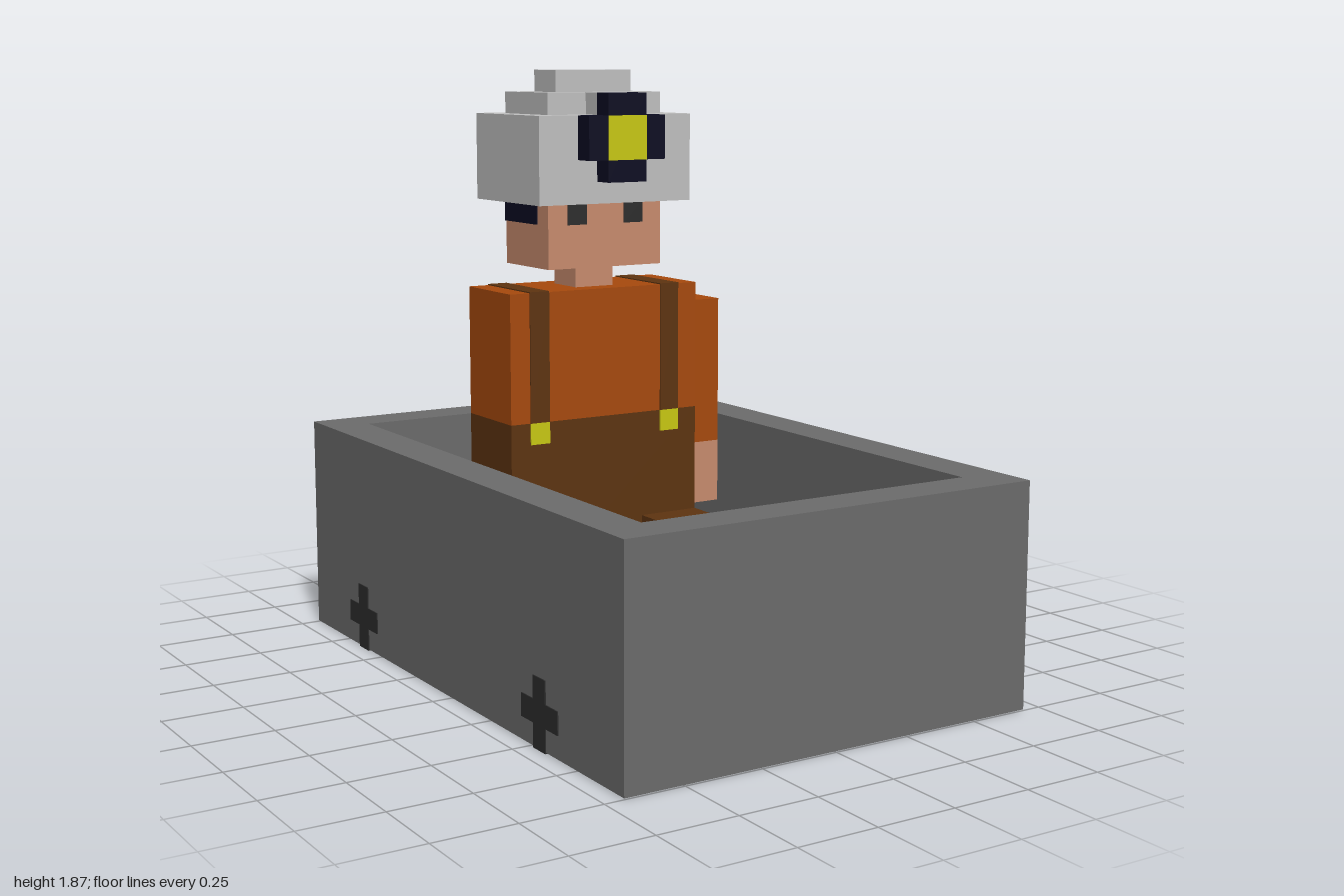
import * as THREE from 'three';

const U = 2 / 29;   // one block cell
const T = 0.05;     // thickness of painted plates, in cells

const material = (name, color) => {
  const m = new THREE.MeshStandardMaterial({ color });
  m.name = name;
  return m;
};

export function createModel() {
  const grey = material('cart grey', 0x6c6c6c);
  const charcoal = material('charcoal', 0x2d2d2d);
  const orange = material('shirt orange', 0xa84a0d);
  const brown = material('trouser brown', 0x5e3410);
  const skin = material('skin', 0xc98c6e);
  const silver = material('helmet silver', 0xc1c1c1);
  const navy = material('dark navy', 0x0b0b22);
  const yellow = material('yellow', 0xcaca12);

  const model = new THREE.Group();
  model.name = 'minerInCart';

  const group = (name) => {
    const g = new THREE.Group();
    g.name = name;
    model.add(g);
    return g;
  };

  // Block spanning the given ranges, measured in cells
  const block = (parent, name, mat, [x0, x1], [y0, y1], [z0, z1]) => {
    const geo = new THREE.BoxGeometry((x1 - x0) * U, (y1 - y0) * U, (z1 - z0) * U);
    const mesh = new THREE.Mesh(geo, mat);
    mesh.position.set((x0 + x1) / 2 * U, (y0 + y1) / 2 * U, (z0 + z1) / 2 * U);
    mesh.name = name;
    parent.add(mesh);
  };
  // Range a..b on one side of the middle
  const span = (s, a, b) => (s > 0 ? [a, b] : [-b, -a]);

  // Cart: walls with an open middle, and a floor
  const cart = group('cart');
  const rectangle = (Type, w, d) => new Type([
    new THREE.Vector2(-w, -d), new THREE.Vector2(w, -d),
    new THREE.Vector2(w, d), new THREE.Vector2(-w, d),
  ]);
  const outline = rectangle(THREE.Shape, 10 * U, 14.5 * U);
  outline.holes.push(rectangle(THREE.Path, 8 * U, 12.5 * U));
  const wallGeo = new THREE.ExtrudeGeometry(outline, { depth: 10 * U, bevelEnabled: false });
  wallGeo.rotateX(-Math.PI / 2);
  const walls = new THREE.Mesh(wallGeo, grey);
  walls.name = 'cartWalls';
  cart.add(walls);
  block(cart, 'cartFloor', grey, [-8, 8], [0, 2], [-12.5, 12.5]);

  // Cross-shaped wheels set into the long sides, staggered between the sides
  for (const s of [1, -1]) {
    for (const c of [9, -8]) {
      const z = s * c;
      const x = span(s, 9, 10 + T);
      block(cart, 'wheelUpright', charcoal, x, [-T, 3], [z - 0.5, z + 0.5]);
      block(cart, 'wheelBar', charcoal, x, [1, 2], [z - 1.5, z + 1.5]);
    }
  }

  // Body: trousers up to the waist, then shirt
  const body = group('body');
  block(body, 'waist', brown, [-5, 5], [2, 11], [-7.5, -3.5]);
  block(body, 'shirt', orange, [-5, 5], [11, 17], [-7.5, -3.5]);
  for (const s of [1, -1]) {
    const wrap = [-7.5 - T, -3.5 + T];
    block(body, 'suspender', brown, span(s, 3, 4), [11, 17 + T], wrap);
    block(body, 'buckle', yellow, span(s, 3, 4), [10, 11], wrap);
    block(body, 'leg', brown, span(s, 2, 5), [2, 6], [-3.5, 4.5]);
    block(body, 'foot', skin, span(s, 2, 5), [2, 6], [4.5, 7.5]);
  }

  // Left arm
  const arm = group('leftArm');
  block(arm, 'sleeve', orange, [5, 7], [9, 16], [-6.5, -4.5]);
  block(arm, 'hand', skin, [5, 7], [6, 9], [-6.5, -4.5]);

  // Head
  const head = group('head');
  block(head, 'neck', skin, [-1, 1], [17, 18], [-6.5, -4.5]);
  block(head, 'face', skin, [-3, 3], [18, 21], [-7.5, -3.5]);
  block(head, 'hair', navy, [-3 - T, 3 + T], [20, 21], [-7.5 - T, -4.5]);
  for (const s of [1, -1]) {
    block(head, 'eye', charcoal, span(s, 1, 2), [20, 21], [-3.5 - T, -3.5 + T]);
  }

  // Stepped helmet
  const helmet = group('helmet');
  block(helmet, 'helmetBase', silver, [-4, 4], [21, 25], [-8.5, -2.5]);
  block(helmet, 'helmetStep', silver, [-3, 3], [25, 26], [-7.5, -3.5]);
  block(helmet, 'helmetTop', silver, [-2, 2], [26, 27], [-6.5, -4.5]);
  block(helmet, 'lampMount', silver, [-1, 1], [25, 26], [-3.5, -2.5]);

  // Headlamp
  const lamp = group('headlamp');
  block(lamp, 'lampUpright', navy, [-1, 1], [22, 26], [-2.5, -1.5]);
  for (const s of [1, -1]) {
    block(lamp, 'lampSide', navy, span(s, 1, 2), [23, 25], [-2.5, -1.5]);
  }
  block(lamp, 'lampLens', yellow, [-1, 1], [23, 25], [-1.5, -1.5 + T]);

  return model;
}
